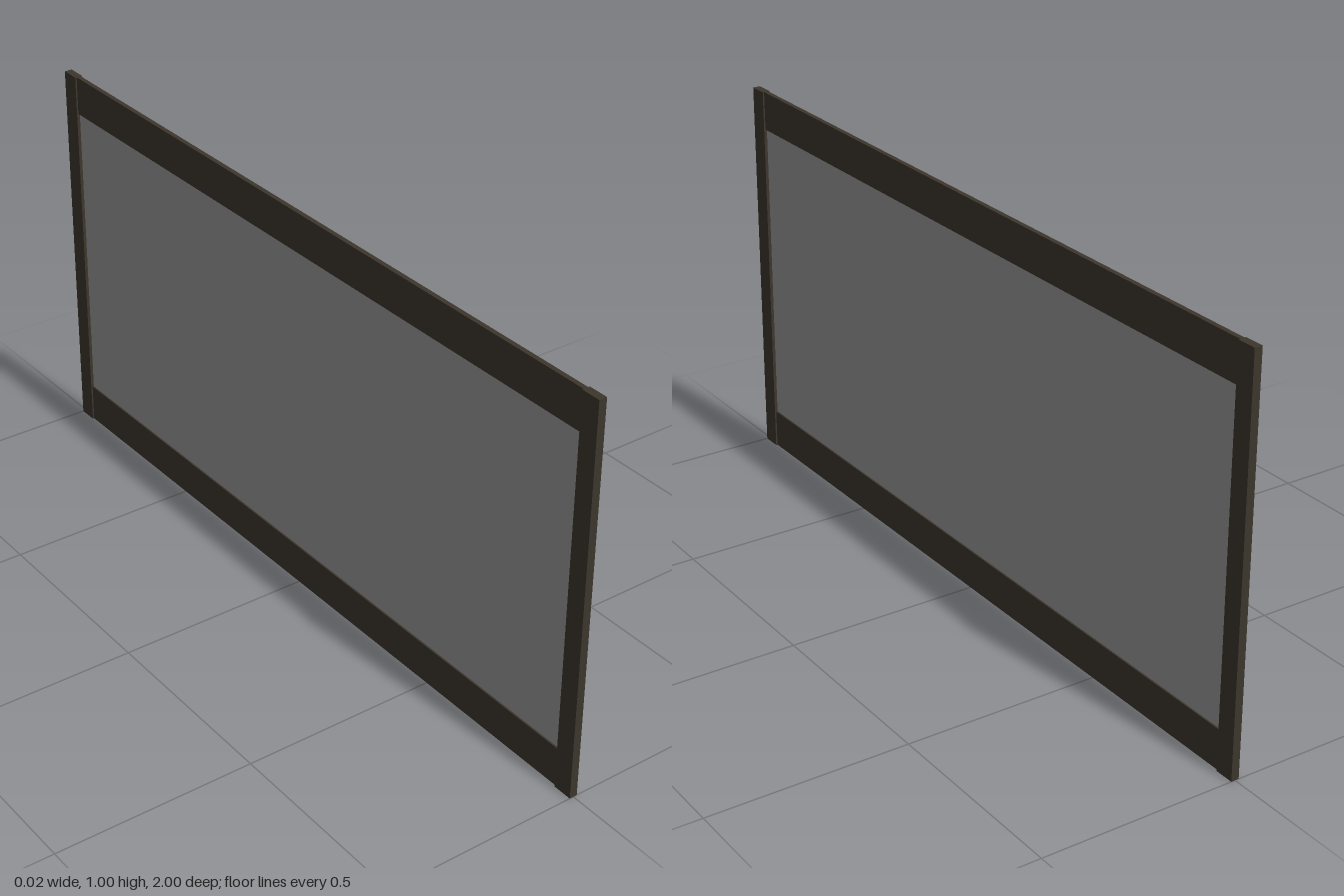
import * as THREE from 'three';

const frameMaterial = new THREE.MeshStandardMaterial({ color: 0x3d362c });
frameMaterial.name = 'dark bronze';
const paneMaterial = new THREE.MeshStandardMaterial({ color: 0x999999 });
paneMaterial.name = 'grey glass';

const LENGTH = 2, HEIGHT = 1;
const STILE = 0.05, STILE_DEPTH = 0.02;
const RAIL = 0.1, RAIL_DEPTH = 0.012;

function addBox(group, name, material, size, position) {
  const mesh = new THREE.Mesh(new THREE.BoxGeometry(...size), material);
  mesh.name = name;
  mesh.position.set(...position);
  group.add(mesh);
}

export function createModel() {
  const group = new THREE.Group();
  group.name = 'framedPanel';
  const innerLength = LENGTH - 2 * STILE;

  // Full-height uprights at both ends, slightly thicker than the rails
  for (const [name, side] of [['frontStile', 1], ['backStile', -1]]) {
    addBox(group, name, frameMaterial, [STILE_DEPTH, HEIGHT, STILE],
      [0, HEIGHT / 2, side * (LENGTH - STILE) / 2]);
  }

  // Horizontal rails between the uprights
  for (const [name, y] of [['bottomRail', RAIL / 2], ['topRail', HEIGHT - RAIL / 2]]) {
    addBox(group, name, frameMaterial, [RAIL_DEPTH, RAIL, innerLength], [0, y, 0]);
  }

  // Thin pane filling the opening
  addBox(group, 'pane', paneMaterial, [0.004, HEIGHT - 2 * RAIL, innerLength], [0, HEIGHT / 2, 0]);

  return group;
}
